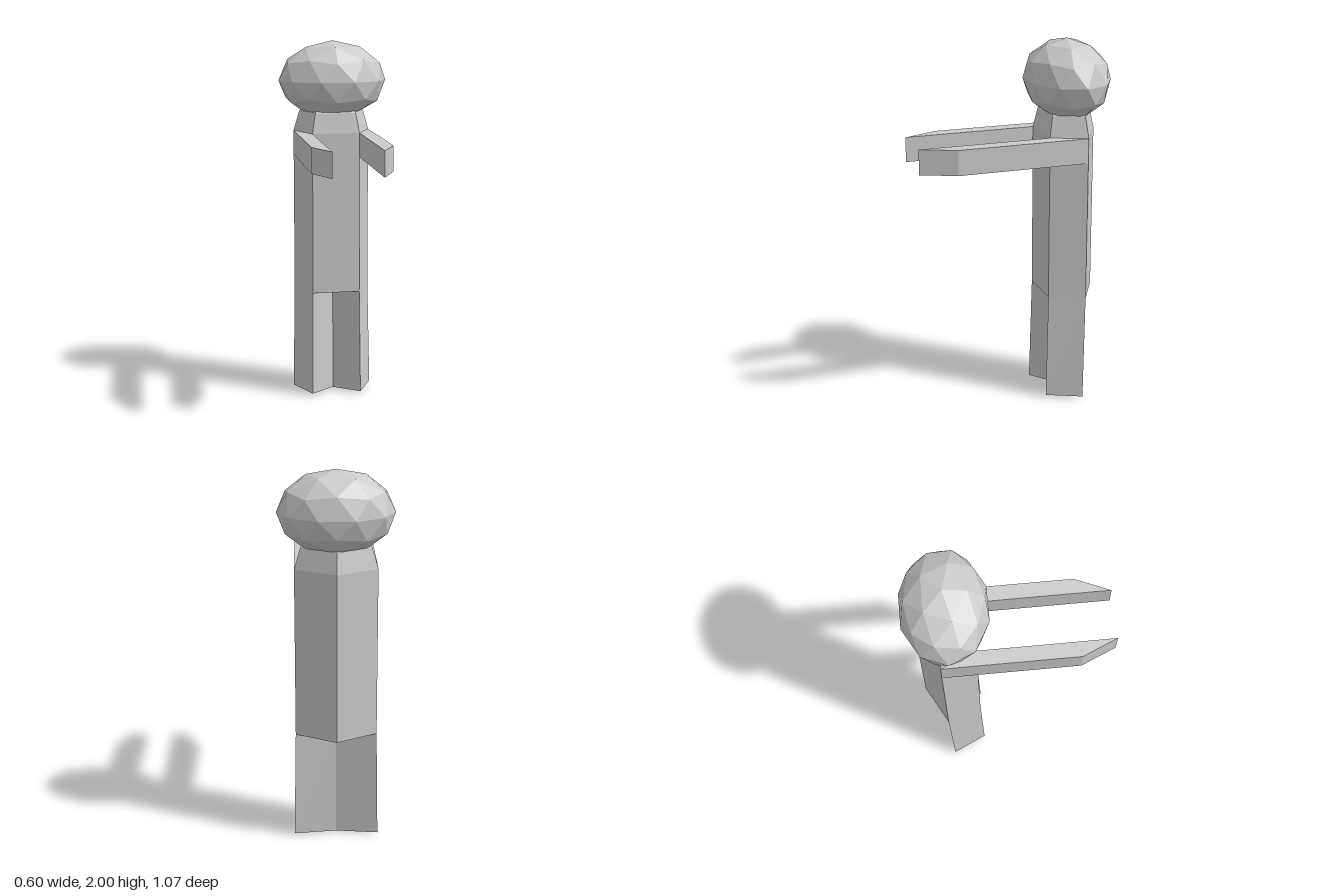
import * as THREE from 'three';

const material = new THREE.MeshStandardMaterial({ color: 0xcccccc, flatShading: true });

// Closed solid through rings of [x, y, z], ordered bottom to top, anticlockwise from above
function loft(name, rings) {
  const n = rings[0].length, pos = [];
  const tri = (a, b, c) => pos.push(...a, ...b, ...c);
  for (let r = 0; r < rings.length - 1; r++) {
    for (let i = 0; i < n; i++) {
      const j = (i + 1) % n, lo = rings[r], hi = rings[r + 1];
      tri(lo[i], lo[j], hi[j]);
      tri(lo[i], hi[j], hi[i]);
    }
  }
  const bottom = rings[0], top = rings[rings.length - 1];
  for (let i = 1; i < n - 1; i++) {
    tri(bottom[0], bottom[i + 1], bottom[i]);
    tri(top[0], top[i], top[i + 1]);
  }
  const geo = new THREE.BufferGeometry();
  geo.setAttribute('position', new THREE.Float32BufferAttribute(pos, 3));
  geo.computeVertexNormals();
  const mesh = new THREE.Mesh(geo, material);
  mesh.name = name;
  return mesh;
}

// Mirror a ring across x = 0, keeping its winding
const mirror = (ring) => ring.map(([x, y, z]) => [-x, y, z]).reverse();

// Flattened pentagon with a flat front and a ridge down the back
const CZ = -0.315, RX = 0.2235, RZ = 0.167;
function pentagon(y, s = 1) {
  return [36, 108, 180, 252, 324].map((deg) => {
    const a = THREE.MathUtils.degToRad(deg);
    return [s * RX * Math.sin(a), y, CZ + s * RZ * Math.cos(a)];
  });
}

export function createModel() {
  const group = new THREE.Group();
  group.name = 'figure';

  // Torso tapering into the neck, which ends inside the head
  group.add(loft('torso', [pentagon(0.6), pentagon(1.5), pentagon(1.61, 0.85), pentagon(1.65, 0.7)]));

  const [front, side] = pentagon(0);

  // Legs: triangular prisms, slightly splayed, meeting at the centre line
  const legTop = [[front[0], 0.6, front[2]], [side[0], 0.6, side[2]], [0, 0.6, CZ]];
  const legFoot = [[0.138, 0.012, -0.168], [0.224, 0.012, -0.355], [0, 0, -0.305]];
  group.add(loft('leftLeg', [legFoot, legTop]));
  group.add(loft('rightLeg', [mirror(legFoot), mirror(legTop)]));

  // Arms: the side faces drawn straight forward
  const reach = 0.715;
  const arm = (y) => [
    [front[0], y, front[2] + reach], [side[0], y, side[2] + reach],
    [side[0], y, side[2]], [front[0], y, front[2]],
  ];
  group.add(loft('leftArm', [arm(1.365), arm(1.5)]));
  group.add(loft('rightArm', [mirror(arm(1.365)), mirror(arm(1.5))]));

  // Head: faceted ball with a vertex pointing up, widened in x
  const headGeo = new THREE.IcosahedronGeometry(1, 1);
  headGeo.rotateZ(Math.atan2(2, 1 + Math.sqrt(5)));
  headGeo.rotateY(Math.PI / 2);
  headGeo.scale(0.3, 0.217, 0.226);
  headGeo.computeVertexNormals();
  const head = new THREE.Mesh(headGeo, material);
  head.name = 'head';
  head.position.set(0, 1.783, -0.32);
  group.add(head);

  return group;
}
